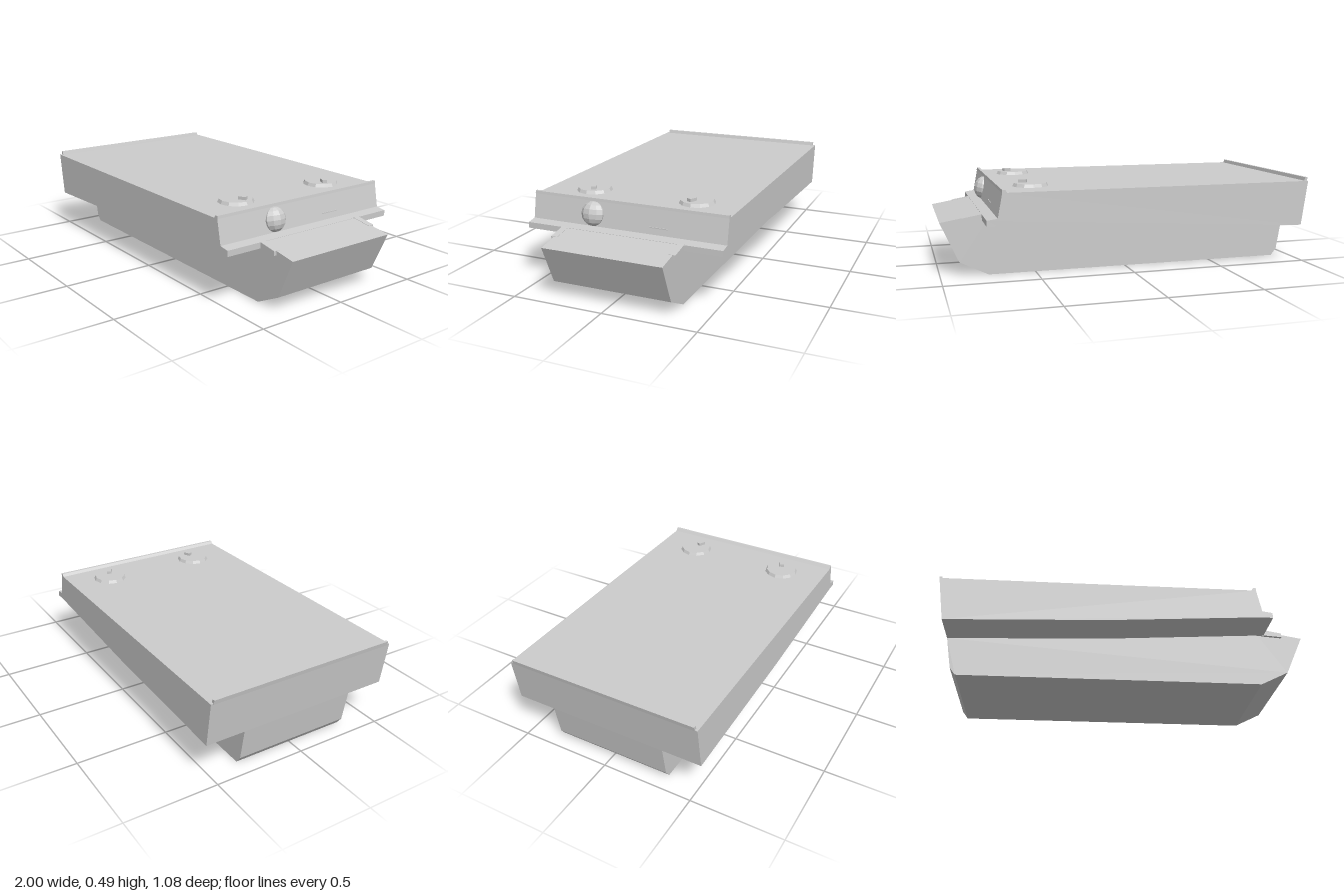
import * as THREE from 'three';

const material = new THREE.MeshStandardMaterial({ color: 0xcccccc, flatShading: true });

export function createModel() {
  const model = new THREE.Group();
  model.name = 'armouredHull';

  function add(name, geometry, x = 0, y = 0, z = 0) {
    const mesh = new THREE.Mesh(geometry, material);
    mesh.name = name;
    mesh.position.set(x, y, z);
    model.add(mesh);
    return mesh;
  }

  // Side profile (x, y) extruded across the width from z0 to z1
  function slab(name, points, z0, z1) {
    const shape = new THREE.Shape(points.map(([x, y]) => new THREE.Vector2(x, y)));
    const geometry = new THREE.ExtrudeGeometry(shape, { depth: z1 - z0, bevelEnabled: false });
    return add(name, geometry, 0, 0, z0);
  }

  // Narrow lower hull with bow and sloping glacis
  slab('lowerHull', [
    [-0.9, 0], [0.75, 0], [0.9, 0.075], [0.995, 0.287],
    [0.725, 0.333], [-0.96, 0.3], [-0.96, 0.215], [-0.93, 0.04],
  ], -0.325, 0.325);

  // Wide superstructure overhanging the tracks, with a ledge at the front
  slab('superstructure', [
    [-0.96, 0.215], [-0.1, 0.245], [0.735, 0.297], [0.78, 0.294],
    [0.78, 0.325], [0.725, 0.333], [0.7, 0.46], [-0.995, 0.46],
  ], -0.54, 0.54);

  // Raised lips at the roof's front and rear edges
  slab('frontRoofLip', [[0.675, 0.46], [0.702, 0.46], [0.7, 0.475], [0.685, 0.475]], -0.54, 0.54);
  slab('rearRoofLip', [[-0.995, 0.455], [-0.978, 0.455], [-0.985, 0.479], [-1, 0.479]], -0.525, 0.525);

  for (const side of [-1, 1]) {
    // Short rails where the ledge meets the glacis
    const inner = 0.305 * side, outer = 0.34 * side;
    slab('glacisRail', [
      [0.77, 0.293], [0.88, 0.285], [0.88, 0.308], [0.77, 0.327],
    ], Math.min(inner, outer), Math.max(inner, outer));

    // Round roof hatch with a periscope block
    const z = side > 0 ? 0.288 : -0.302;
    add('roofHatch', new THREE.CylinderGeometry(0.087, 0.096, 0.018, 12), 0.517, 0.468, z);
    const periscope = add('periscope', new THREE.BoxGeometry(0.042, 0.02, 0.026), 0.555, 0.483, z - side * 0.014);
    periscope.rotation.y = side * 0.45;
  }

  // Faceted ball mount in the front plate
  const ball = add('ballMount', new THREE.SphereGeometry(0.065, 10, 8), 0.708, 0.395, 0.192);
  ball.scale.x = 0.75;
  ball.rotation.z = 0.19;

  // Thin vision slit hood on the front plate
  add('visorHood', new THREE.BoxGeometry(0.012, 0.005, 0.1), 0.716, 0.368, -0.18);

  return model;
}
